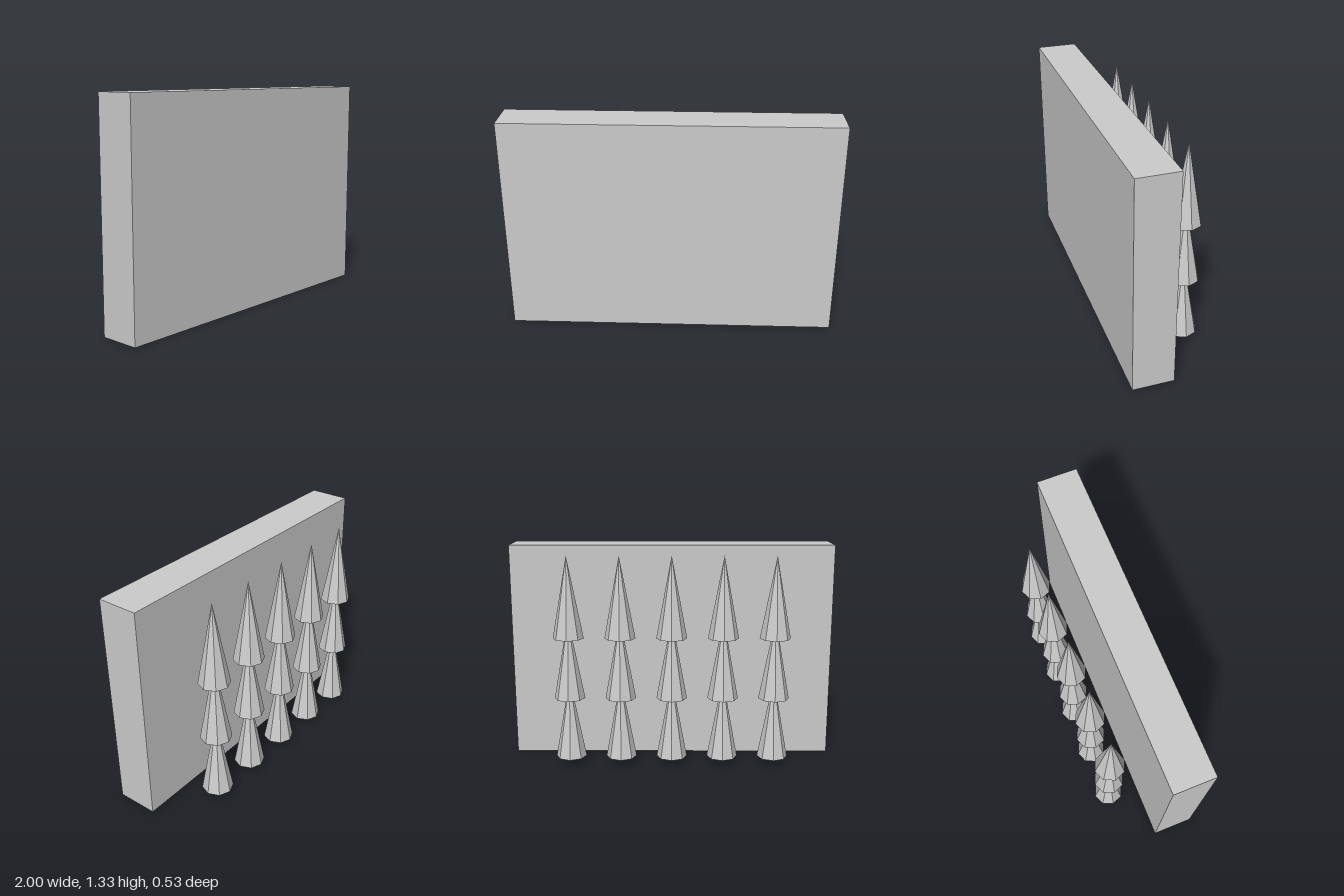
import * as THREE from 'three';

export function createModel() {
  const model = new THREE.Group();
  const material = new THREE.MeshStandardMaterial({ color: 0xcccccc, flatShading: true });

  // Solid upright slab at the front
  const wallHeight = 1.3333;
  const wall = new THREE.Mesh(new THREE.BoxGeometry(2, wallHeight, 0.25), material);
  wall.name = 'wall';
  wall.position.set(0, wallHeight / 2, 0.1406);
  model.add(wall);

  // Row of trees behind it, each a stack of three overlapping cones
  const coneHeight = 0.5;
  const coneGeometry = new THREE.ConeGeometry(0.09375, coneHeight, 8);
  for (let i = -2; i <= 2; i++) {
    const tree = new THREE.Group();
    tree.name = `tree${i + 3}`;
    tree.position.set(i * 0.3125, 0.0417, -0.1719);
    for (let tier = 0; tier < 3; tier++) {
      const cone = new THREE.Mesh(coneGeometry, material);
      cone.name = `foliageTier${tier + 1}`;
      cone.position.y = tier * 0.375 + coneHeight / 2;
      tree.add(cone);
    }
    model.add(tree);
  }

  return model;
}
